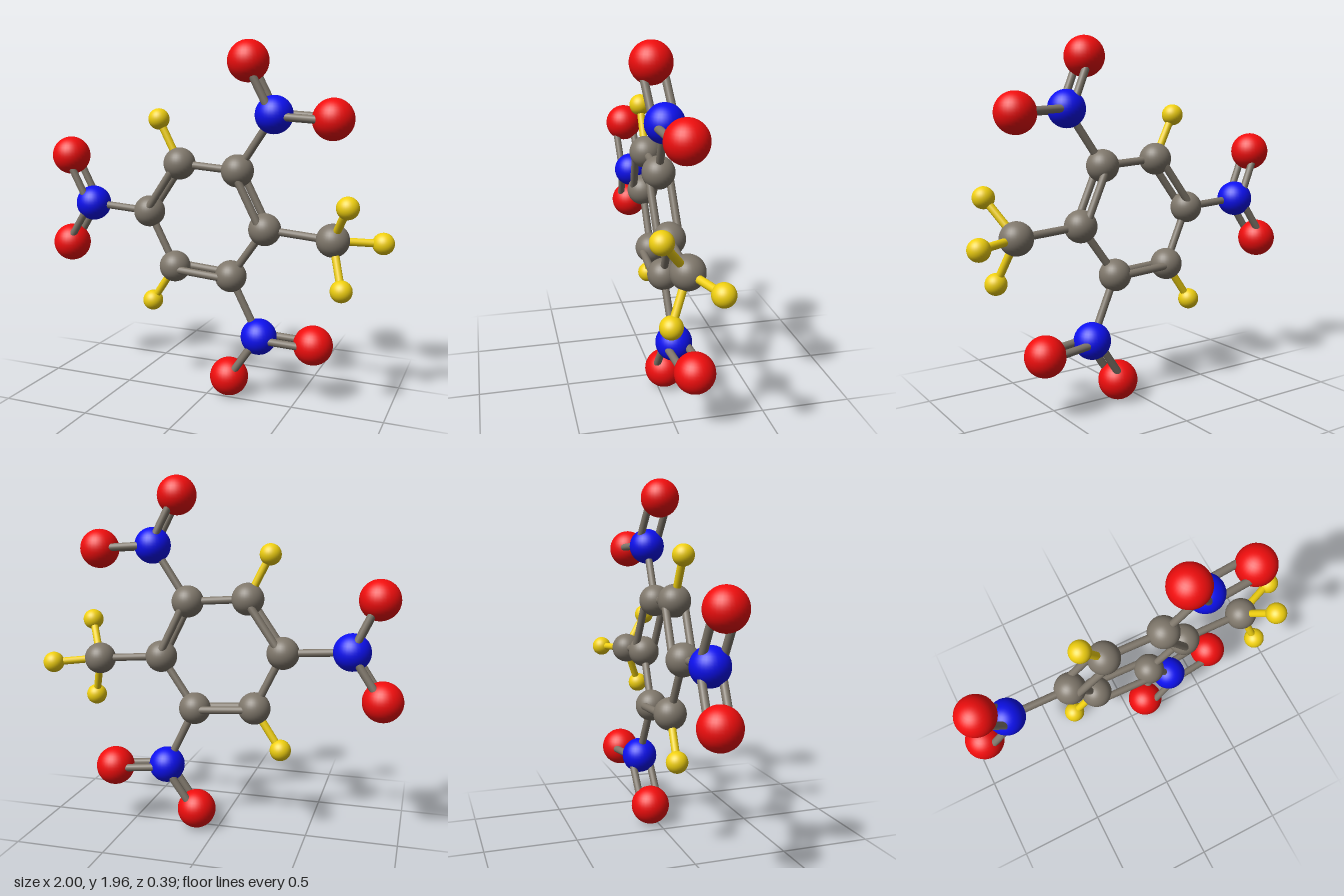
import * as THREE from 'three';

const BOND_RADIUS = 0.021;
const DOUBLE_OFFSET = 0.054;

const makeMaterial = (color) => new THREE.MeshStandardMaterial({ color });

// Ball radius and colour per element
const elements = {
  carbon: { radius: 0.088, material: makeMaterial(0x7f776b) },
  nitrogen: { radius: 0.1, material: makeMaterial(0x0d10f0) },
  oxygen: { radius: 0.108, material: makeMaterial(0xf00d0d) },
  hydrogen: { radius: 0.058, material: makeMaterial(0xf0d010) },
};

// Ball centres: name -> [element, x, y, z]
const atoms = {
  ring1: ['carbon', 0.33, 0.98, -0.01],
  ring2: ['carbon', 0.18, 1.29, 0.01],
  ring3: ['carbon', -0.16, 1.315, 0.005],
  ring4: ['carbon', -0.36, 1.035, -0.02],
  ring5: ['carbon', -0.21, 0.725, -0.035],
  ring6: ['carbon', 0.13, 0.7, -0.03],
  methyl: ['carbon', 0.7, 0.95, -0.01],
  nitroTop: ['nitrogen', 0.385, 1.59, 0.028],
  nitroSide: ['nitrogen', -0.725, 1.06, -0.022],
  nitroBottom: ['nitrogen', 0.29, 0.365, -0.052],
  oxygenTopA: ['oxygen', 0.255, 1.86, 0.065],
  oxygenTopB: ['oxygen', 0.687, 1.57, 0],
  oxygenSideA: ['oxygen', -0.855, 1.335, -0.003],
  oxygenSideB: ['oxygen', -0.892, 0.81, -0.04],
  oxygenBottomA: ['oxygen', 0.59, 0.343, -0.087],
  oxygenBottomB: ['oxygen', 0.12, 0.113, -0.04],
  hydrogenUpper: ['hydrogen', -0.28, 1.555, 0.01],
  hydrogenLower: ['hydrogen', -0.36, 0.505, -0.05],
  methylHydrogenA: ['hydrogen', 0.805, 1.148, 0.14],
  methylHydrogenB: ['hydrogen', 0.942, 0.933, -0.11],
  methylHydrogenC: ['hydrogen', 0.773, 0.71, 0.085],
};

const singleBonds = [
  ['ring2', 'ring3'], ['ring4', 'ring5'], ['ring6', 'ring1'],
  ['ring1', 'methyl'], ['ring2', 'nitroTop'],
  ['ring4', 'nitroSide'], ['ring6', 'nitroBottom'],
  ['ring3', 'hydrogenUpper'], ['ring5', 'hydrogenLower'],
  ['methyl', 'methylHydrogenA'], ['methyl', 'methylHydrogenB'], ['methyl', 'methylHydrogenC'],
];

// The third name fixes the plane that the paired rods straddle
const doubleBonds = [
  ['ring1', 'ring2', 'ring4'], ['ring3', 'ring4', 'ring6'], ['ring5', 'ring6', 'ring2'],
];
for (const side of ['Top', 'Side', 'Bottom']) {
  doubleBonds.push(
    [`nitro${side}`, `oxygen${side}A`, `oxygen${side}B`],
    [`nitro${side}`, `oxygen${side}B`, `oxygen${side}A`],
  );
}

const position = (name) => new THREE.Vector3(...atoms[name].slice(1));

// One rod between two points
function rod(start, end, material) {
  const direction = end.clone().sub(start);
  const geometry = new THREE.CylinderGeometry(BOND_RADIUS, BOND_RADIUS, direction.length(), 16);
  const mesh = new THREE.Mesh(geometry, material);
  mesh.position.copy(start).add(end).multiplyScalar(0.5);
  mesh.quaternion.setFromUnitVectors(new THREE.Vector3(0, 1, 0), direction.normalize());
  return mesh;
}

export function createModel() {
  const model = new THREE.Group();
  model.name = 'ballAndStickMolecule';

  // Balls
  for (const [name, [element, x, y, z]] of Object.entries(atoms)) {
    const { radius, material } = elements[element];
    const ball = new THREE.Mesh(new THREE.SphereGeometry(radius, 32, 20), material);
    ball.name = `${name}Ball`;
    ball.position.set(x, y, z);
    model.add(ball);
  }

  // Single rods, yellow where they reach a hydrogen ball
  for (const [a, b] of singleBonds) {
    const element = atoms[b][0] === 'hydrogen' ? 'hydrogen' : 'carbon';
    const bond = rod(position(a), position(b), elements[element].material);
    bond.name = `${a}To${b}Rod`;
    model.add(bond);
  }

  // Paired rods, set either side of the local plane
  for (const [a, b, reference] of doubleBonds) {
    const start = position(a);
    const end = position(b);
    const normal = end.clone().sub(start).cross(position(reference).sub(start)).normalize();
    const pair = new THREE.Group();
    pair.name = `${a}To${b}DoubleRod`;
    for (const sign of [-1, 1]) {
      const shift = normal.clone().multiplyScalar(sign * DOUBLE_OFFSET);
      const bond = rod(start.clone().add(shift), end.clone().add(shift), elements.carbon.material);
      bond.name = sign < 0 ? 'firstRod' : 'secondRod';
      pair.add(bond);
    }
    model.add(pair);
  }

  return model;
}
